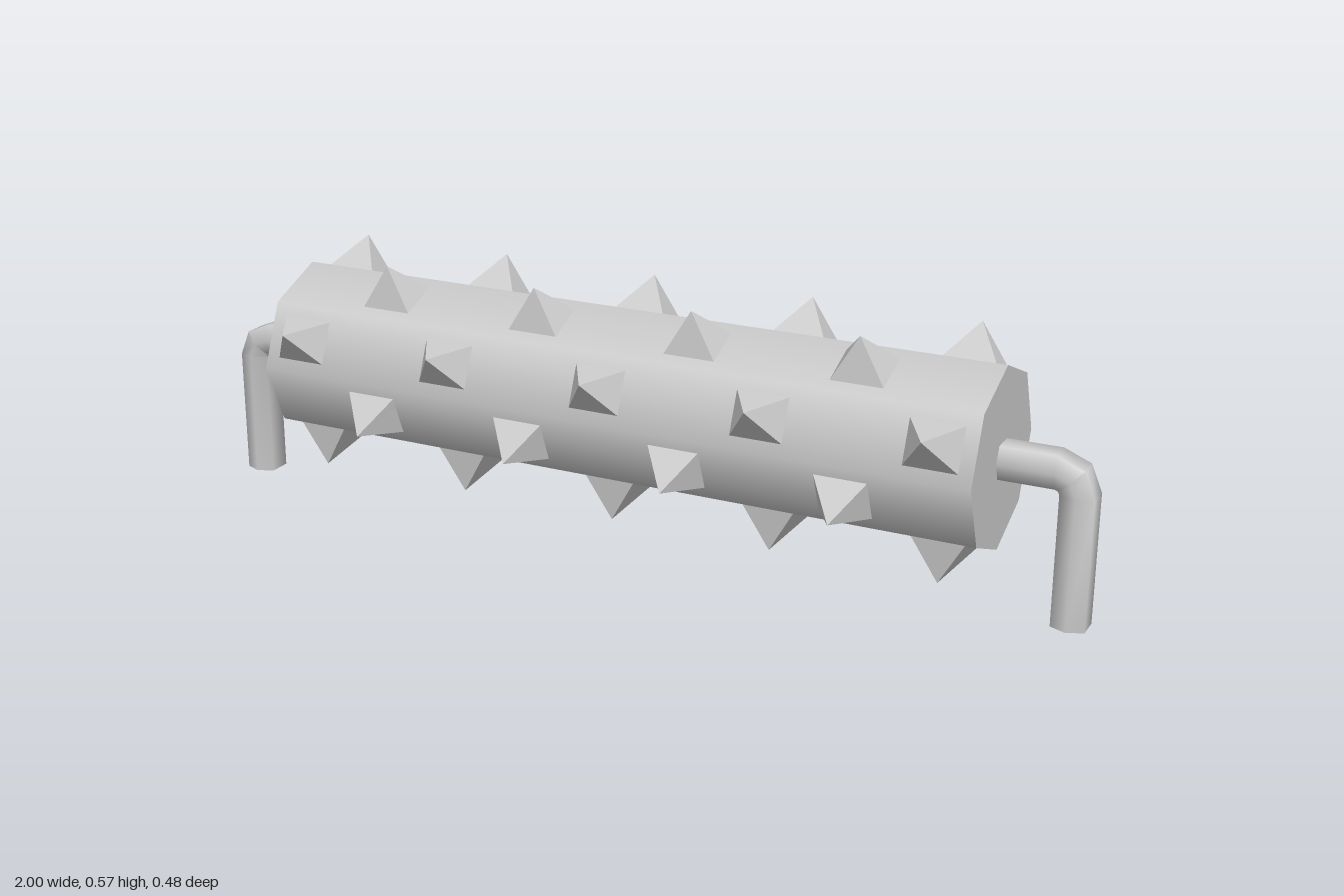
import * as THREE from 'three';
import { toCreasedNormals } from 'three/addons/utils/BufferGeometryUtils.js';

const AXIS_Y = 0.323;      // height of the roller axis
const RADIUS = 0.193;      // corner radius of the octagonal roller
const LENGTH = 1.612;
const FACE = RADIUS * Math.cos(Math.PI / 8);

const smooth = new THREE.MeshStandardMaterial({ color: 0xcccccc });
const flat = new THREE.MeshStandardMaterial({ color: 0xcccccc, flatShading: true });

// Six-sided bent rod: inner end in the roller, quarter bend, leg to the ground.
function handleGeometry() {
  const legX = 0.965, bend = 0.045;
  const section = [[0, 0.04], [0.035, 0.025], [0.035, -0.025], [0, -0.04], [-0.035, -0.025], [-0.035, 0.025]];
  const rings = [[0.75, AXIS_Y, 0]]; // x, y, turn angle
  for (let i = 0; i <= 2; i++) {
    const a = (i / 2) * Math.PI / 2;
    rings.push([legX - bend + bend * Math.sin(a), AXIS_Y - bend + bend * Math.cos(a), a]);
  }
  rings.push([legX, 0, Math.PI / 2]);

  const positions = [], index = [], n = section.length;
  for (const [x, y, a] of rings) {
    for (const [out, z] of section) positions.push(x + out * Math.sin(a), y + out * Math.cos(a), z);
  }
  for (let r = 0; r < rings.length - 1; r++) {
    for (let i = 0; i < n; i++) {
      const a = r * n + i, b = r * n + (i + 1) % n;
      index.push(a, a + n, b, b, a + n, b + n);
    }
  }
  // End caps
  const last = (rings.length - 1) * n;
  for (let i = 1; i < n - 1; i++) {
    index.push(0, i, i + 1, last, last + i + 1, last + i);
  }
  const geometry = new THREE.BufferGeometry();
  geometry.setAttribute('position', new THREE.Float32BufferAttribute(positions, 3));
  geometry.setIndex(index);
  return toCreasedNormals(geometry, 1.2);
}

export function createModel() {
  const model = new THREE.Group();
  model.name = 'spikedRoller';

  // Octagonal roller lying along x
  const roller = new THREE.Mesh(new THREE.CylinderGeometry(RADIUS, RADIUS, LENGTH, 8).rotateZ(Math.PI / 2), smooth);
  roller.name = 'roller';
  roller.position.y = AXIS_Y;
  model.add(roller);

  // Four-sided spikes: one row per face, alternating five and four
  const height = 0.262 - FACE;
  const spikeGeometry = new THREE.ConeGeometry(Math.SQRT2, height, 4, 1)
    .rotateY(Math.PI / 4)
    .scale(0.056, 1, 0.0465)
    .translate(0, FACE + height / 2, 0);
  for (let k = 0; k < 8; k++) {
    const row = new THREE.Group();
    row.name = 'spikeRow';
    row.position.y = AXIS_Y;
    row.rotation.x = Math.PI / 8 + k * Math.PI / 4;
    const count = k % 2 ? 5 : 4;
    for (let i = 0; i < count; i++) {
      const spike = new THREE.Mesh(spikeGeometry, flat);
      spike.name = 'spike';
      spike.position.x = (i - (count - 1) / 2) * 0.36;
      row.add(spike);
    }
    model.add(row);
  }

  // Bent support at each end
  const geometry = handleGeometry();
  for (const [name, turn] of [['leftSupport', 0], ['rightSupport', Math.PI]]) {
    const support = new THREE.Mesh(geometry, smooth);
    support.name = name;
    support.rotation.y = turn;
    model.add(support);
  }
  return model;
}
